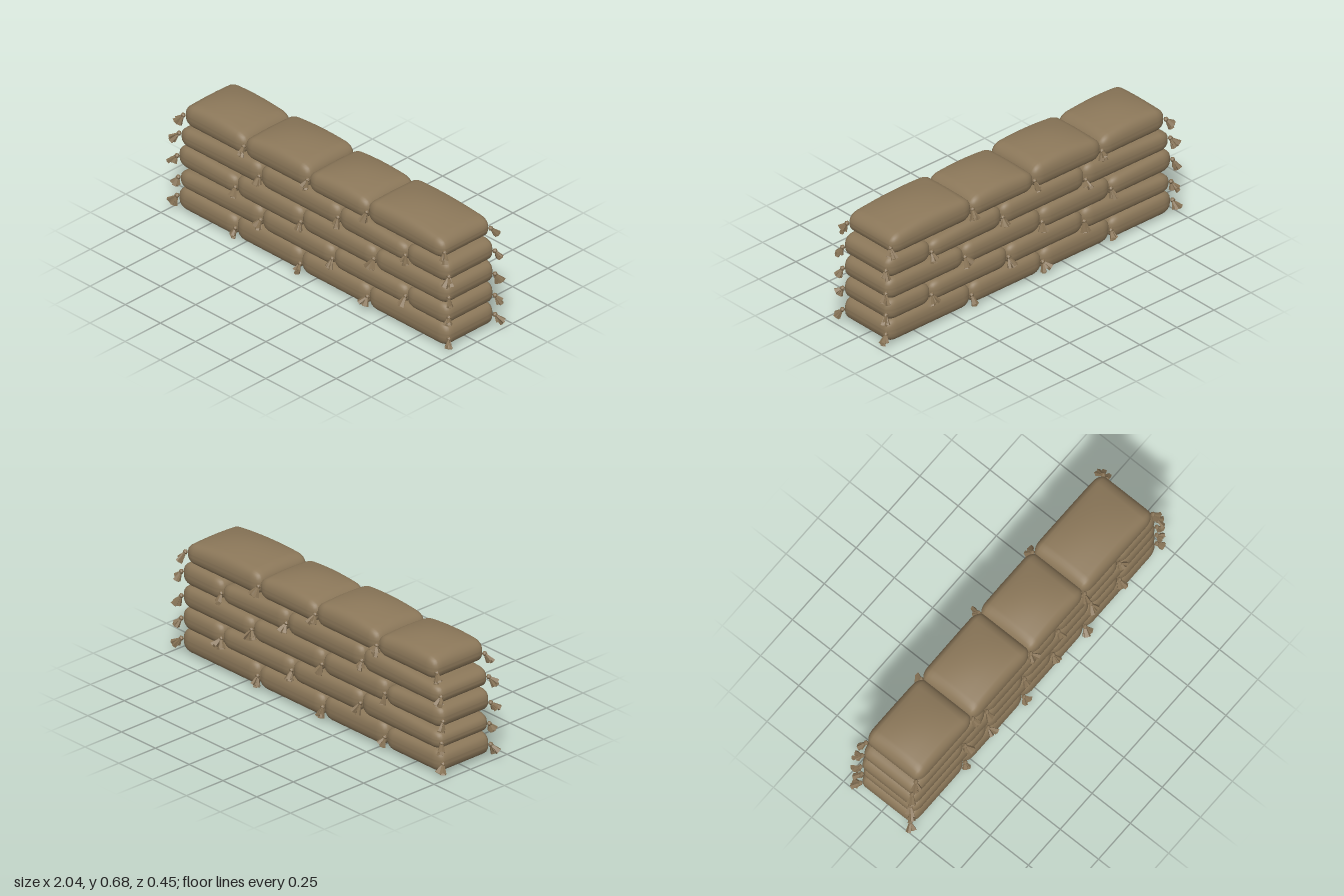
import * as THREE from 'three';
import { mergeVertices, mergeGeometries } from 'three/addons/utils/BufferGeometryUtils.js';

const burlap = new THREE.MeshStandardMaterial({ color: 0x8b7759, side: THREE.DoubleSide });
burlap.name = 'burlap';
const tieCloth = new THREE.MeshStandardMaterial({ color: 0x857154, side: THREE.DoubleSide, flatShading: true });
tieCloth.name = 'tieCloth';

// seeded jitter in -1..1
let seed = 7;
function jitter() {
  seed = (seed * 16807) % 2147483647;
  return (seed / 2147483647) * 2 - 1;
}

// Pillow: a cube with elliptically rounded edges, sloped and domed on top
function bagGeometry({ x0, x1, bottom, topL, topR, dome }) {
  let g = new THREE.BoxGeometry(2, 2, 2, 16, 12, 14);
  g.deleteAttribute('uv');
  g.deleteAttribute('normal');
  g = mergeVertices(g);
  const p = g.attributes.position;
  const halfX = (x1 - x0) / 2, halfZ = 0.178, flat = 0.5;
  const rx = 0.065, rz = 0.042;
  const split = (t) => {
    const a = Math.abs(t), s = Math.sign(t);
    return { core: s * Math.min(a / flat, 1), edge: s * Math.max(0, (a - flat) / (1 - flat)) };
  };
  for (let i = 0; i < p.count; i++) {
    const sx = split(p.getX(i)), sy = split(p.getY(i)), sz = split(p.getZ(i));
    const len = Math.hypot(sx.edge, sy.edge, sz.edge) || 1;
    const x = sx.core * (halfX - rx) + (sx.edge / len) * rx;
    const z = sz.core * (halfZ - rz) + (sz.edge / len) * rz;
    const v = sy.core * 0.2 + (sy.edge / len) * 0.8;
    const u = x / halfX, w = z / halfZ;
    const top = THREE.MathUtils.lerp(topL, topR, (u + 1) / 2)
      + dome * (1 - u * u) * (1 - 0.85 * w * w);
    p.setXYZ(i, (x0 + x1) / 2 + x, bottom + (top - bottom) * (v + 1) / 2, z);
  }
  g.computeVertexNormals();
  return g;
}

// Tied corner: a knot with a few flared folds of cloth hanging outward
function tuftGeometry(outX, outZ) {
  const parts = [new THREE.IcosahedronGeometry(0.014, 0)];
  for (let i = 0; i < 4; i++) {
    const h = 0.05 + 0.012 * jitter();
    const fold = new THREE.CylinderGeometry(0.006, 0.019, h, 5, 1, true).toNonIndexed();
    fold.translate(0, -h / 2, 0);
    fold.scale(1, 1, 0.7);
    fold.rotateY(jitter() * 3);
    const dir = new THREE.Vector3(outX * 0.35 + jitter() * 0.4, -0.8 + jitter() * 0.45, outZ * 0.4 + jitter() * 0.2).normalize();
    fold.applyQuaternion(new THREE.Quaternion().setFromUnitVectors(new THREE.Vector3(0, -1, 0), dir));
    parts.push(fold);
  }
  const g = mergeGeometries(parts);
  g.computeVertexNormals();
  return g;
}

// Courses from the ground up: joints along x, and each bag's left and right top heights
const courses = [
  { bottom: 0.004, dome: 0.004, joints: [-0.965, -0.55, -0.09, 0.39, 0.955],
    tops: [[0.13, 0.125], [0.14, 0.135], [0.132, 0.13], [0.135, 0.135]] },
  { bottom: 0.13, dome: 0.004, joints: [-0.955, -0.37, 0.14, 0.66, 0.955],
    tops: [[0.23, 0.26], [0.258, 0.248], [0.252, 0.242], [0.25, 0.255]] },
  { bottom: 0.252, dome: 0.004, joints: [-0.965, -0.55, -0.085, 0.435, 0.955],
    tops: [[0.375, 0.36], [0.38, 0.375], [0.382, 0.372], [0.37, 0.378]] },
  { bottom: 0.38, dome: 0.006, joints: [-0.95, -0.38, 0.18, 0.66, 0.955],
    tops: [[0.485, 0.51], [0.51, 0.505], [0.51, 0.485], [0.5, 0.505]] },
  { bottom: 0.508, dome: 0.042, joints: [-0.92, -0.49, -0.035, 0.385, 0.925],
    tops: [[0.628, 0.618], [0.625, 0.635], [0.618, 0.62], [0.635, 0.615]] },
];

export function createModel() {
  const wall = new THREE.Group();
  wall.name = 'sandbagWall';
  courses.forEach(({ bottom, dome, joints, tops }, row) => {
    const course = new THREE.Group();
    course.name = `course${row + 1}`;
    tops.forEach(([topL, topR], i) => {
      const bag = new THREE.Mesh(
        bagGeometry({ x0: joints[i] - 0.004, x1: joints[i + 1] + 0.004, bottom, topL, topR, dome }), burlap);
      bag.name = 'sandbag';
      course.add(bag);
    });
    // tied corners at every joint, front and back
    joints.forEach((x, i) => {
      const outX = i === 0 ? -1 : i === joints.length - 1 ? 1 : 0;
      for (const side of [1, -1]) {
        const tuft = new THREE.Mesh(tuftGeometry(outX, side), tieCloth);
        tuft.name = 'tiedCorner';
        tuft.position.set(x + outX * 0.008, bottom + 0.058 + jitter() * 0.008, side * (outX ? 0.163 : 0.17));
        course.add(tuft);
      }
    });
    wall.add(course);
  });
  return wall;
}
